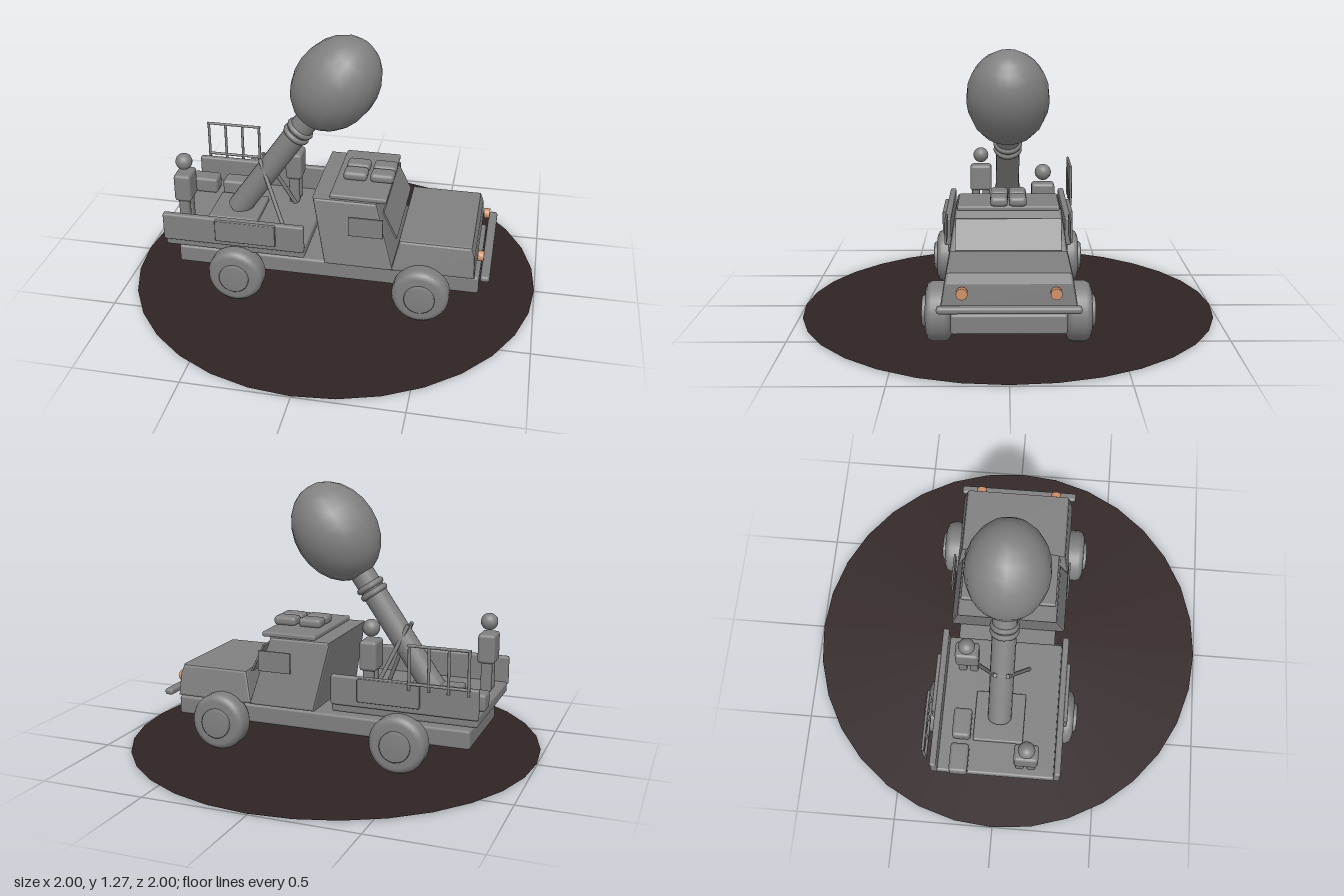
import * as THREE from 'three';
import { RoundedBoxGeometry } from 'three/addons/geometries/RoundedBoxGeometry.js';

const mat = (name, color, side = THREE.FrontSide) => {
  const m = new THREE.MeshStandardMaterial({ color, side });
  m.name = name;
  return m;
};

export function createModel() {
  const grey = mat('grey', 0x808080);
  const earth = mat('dark earth', 0x302424, THREE.DoubleSide);
  const amber = mat('amber', 0xd09068);
  const root = new THREE.Group();
  root.name = 'mortarTruck';

  const add = (name, geo, material = grey, parent = root) => {
    const m = new THREE.Mesh(geo, material);
    m.name = name;
    parent.add(m);
    return m;
  };
  // Rounded box given by its limits
  const box = (name, x0, x1, y0, y1, z0, z1, r = 0.012, parent = root) => {
    const w = x1 - x0, h = y1 - y0, d = z1 - z0;
    const radius = Math.min(r, w * 0.4, h * 0.4, d * 0.4);
    const m = add(name, new RoundedBoxGeometry(w, h, d, 2, radius), grey, parent);
    m.position.set((x0 + x1) / 2, (y0 + y1) / 2, (z0 + z1) / 2);
    return m;
  };
  // Round bar between two points
  const bar = (name, a, b, r, parent = root) => {
    const p = new THREE.Vector3(...a), q = new THREE.Vector3(...b), d = q.clone().sub(p);
    const m = add(name, new THREE.CylinderGeometry(r, r, d.length(), 8), grey, parent);
    m.position.copy(p).add(q).multiplyScalar(0.5);
    m.quaternion.setFromUnitVectors(new THREE.Vector3(0, 1, 0), d.normalize());
    return m;
  };
  // Side profile extruded across z, narrowing towards the top
  const body = (name, pts, halfLow, halfTop) => {
    const bevel = 0.012;
    const shape = new THREE.Shape(pts.map(p => new THREE.Vector2(...p)));
    const geo = new THREE.ExtrudeGeometry(shape, {
      depth: 2 - 2 * bevel, bevelThickness: bevel, bevelSize: bevel, bevelOffset: -bevel, bevelSegments: 2,
    });
    geo.translate(0, 0, bevel - 1);
    const ys = pts.map(p => p[1]), lo = Math.min(...ys), hi = Math.max(...ys);
    const pos = geo.attributes.position;
    for (let i = 0; i < pos.count; i++) {
      const half = THREE.MathUtils.lerp(halfLow, halfTop, (pos.getY(i) - lo) / (hi - lo));
      const z = pos.getZ(i);
      pos.setZ(i, Math.sign(z) * (half - (1 - Math.abs(z))));
    }
    geo.computeVertexNormals();
    return add(name, geo);
  };

  // Ground disc
  const ground = add('ground', new THREE.CircleGeometry(1, 32), earth);
  ground.rotation.x = -Math.PI / 2;
  ground.position.y = 0.009;

  // Chassis and wheels
  box('chassis', -0.74, 0.735, 0.123, 0.213, -0.25, 0.25);
  const tireProfile = [[0, -0.057], [0.105, -0.057], [0.126, -0.048], [0.136, -0.028],
    [0.136, 0.028], [0.126, 0.048], [0.105, 0.057], [0, 0.057]].map(p => new THREE.Vector2(...p));
  const hubProfile = [[0.073, 0], [0.073, 0.068], [0.066, 0.075], [0, 0.075]].map(p => new THREE.Vector2(...p));
  for (const x of [-0.428, 0.47]) for (const s of [1, -1]) {
    const wheel = new THREE.Group();
    wheel.name = 'wheel';
    wheel.position.set(x, 0.14, s * 0.313);
    wheel.rotation.x = s * Math.PI / 2;
    add('tire', new THREE.LatheGeometry(tireProfile, 28), grey, wheel);
    add('hub', new THREE.LatheGeometry(hubProfile, 20), grey, wheel);
    root.add(wheel);
  }

  // Cab, hood, roof and glass plates
  body('cab', [[0, 0.228], [0.332, 0.228], [0.24, 0.557], [-0.066, 0.557]], 0.295, 0.245);
  body('hood', [[0.32, 0.23], [0.715, 0.23], [0.71, 0.34], [0.695, 0.385], [0.355, 0.385]], 0.295, 0.27);
  box('roof', 0.015, 0.285, 0.553, 0.578, -0.235, 0.235, 0.008);
  const shield = box('windshield', -0.005, 0.005, -0.075, 0.075, -0.245, 0.245, 0.002);
  shield.position.set(0.305, 0.448, 0);
  shield.rotation.z = Math.atan2(0.06, 0.125);
  for (const s of [1, -1]) {
    box('sideWindow', 0.115, 0.28, 0.4, 0.5, s * 0.291 - 0.005, s * 0.291 + 0.005, 0.002);
    for (const x of [0.05, 0.18])
      box('roofBag', x, x + 0.115, 0.575, 0.62, s * 0.043 - 0.041, s * 0.043 + 0.041, 0.018);
  }

  // Front bumper and headlights
  box('bumper', 0.742, 0.785, 0.23, 0.26, -0.308, 0.308, 0.012);
  for (const s of [1, -1]) {
    const lamp = add('headlight', new THREE.CylinderGeometry(0.025, 0.025, 0.028, 16), amber);
    lamp.rotation.z = Math.PI / 2;
    lamp.position.set(0.735, 0.307, s * 0.2);
  }

  // Cargo bed with side walls and outer panels
  box('bedFloor', -0.785, -0.095, 0.247, 0.3, -0.3, 0.3, 0.012);
  for (const s of [1, -1]) {
    box('bedWall', -0.79, -0.095, 0.285, 0.427, s * 0.3 - 0.016, s * 0.3 + 0.016, 0.01);
    box('sidePanel', -0.525, -0.23, 0.315, 0.425, s * 0.322 - 0.01, s * 0.322 + 0.01, 0.004);
  }

  // Ladder rail on the far side
  const rail = new THREE.Group();
  rail.name = 'rail';
  root.add(rail);
  for (let i = 0; i < 4; i++) {
    const x = -0.75 + i * 0.0907;
    bar('railPost', [x, 0.4, -0.336], [x, 0.607, -0.336], 0.007, rail);
  }
  for (const y of [0.43, 0.605]) bar('railBar', [-0.757, y, -0.336], [-0.471, y, -0.336], 0.007, rail);

  // Ammunition boxes
  for (const x of [-0.8, -0.625]) box('ammoBox', x, x + 0.143, 0.3, 0.382, -0.225, -0.135, 0.015);

  // Mortar: plate, tube, collars and egg-shaped shell, built along y then tilted
  box('basePlate', -0.625, -0.375, 0.295, 0.325, -0.123, 0.123, 0.008);
  const mortar = new THREE.Group();
  mortar.name = 'mortar';
  mortar.position.set(-0.5, 0.32, 0);
  mortar.rotation.z = -Math.atan2(0.5, 0.72);
  root.add(mortar);
  const tube = add('tube', new THREE.CylinderGeometry(0.059, 0.059, 0.66, 18), grey, mortar);
  tube.position.y = 0.33;
  for (const y of [0.535, 0.57]) {
    const collar = add('collar', new THREE.TorusGeometry(0.055, 0.016, 8, 18), grey, mortar);
    collar.rotation.x = Math.PI / 2;
    collar.position.y = y;
  }
  const shell = add('shell', new THREE.SphereGeometry(1, 18, 12), grey, mortar);
  shell.scale.set(0.2, 0.25, 0.2);
  shell.position.y = 0.877;

  // Bipod
  for (const s of [1, -1]) bar('bipodLeg', [-0.375, 0.62, s * 0.03], [-0.235, 0.295, s * 0.128], 0.01);
  bar('bipodBrace', [-0.365, 0.6, -0.04], [-0.365, 0.6, 0.04], 0.01);

  // Crew
  for (const [x, z] of [[-0.722, 0.145], [-0.245, -0.178]]) {
    const crew = new THREE.Group();
    crew.name = 'crewMember';
    crew.position.set(x, 0, z);
    root.add(crew);
    box('torso', -0.042, 0.042, 0.435, 0.577, -0.058, 0.058, 0.016, crew);
    for (const s of [1, -1])
      box('leg', -0.025, 0.025, 0.295, 0.445, s * 0.028 - 0.021, s * 0.028 + 0.021, 0.01, crew);
    add('head', new THREE.SphereGeometry(0.041, 16, 12), grey, crew).position.y = 0.63;
  }
  return root;
}
